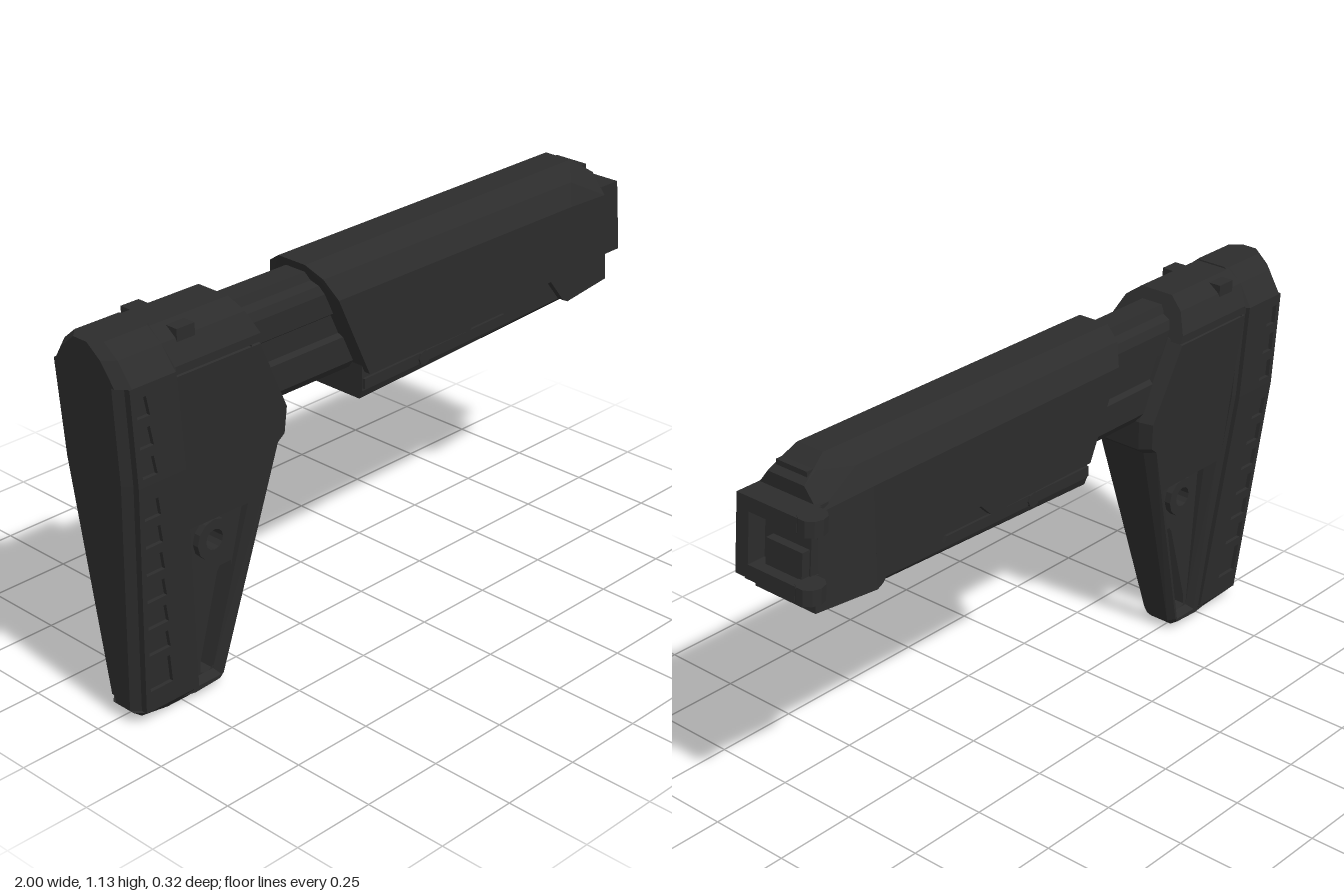
import * as THREE from 'three';
import { ConvexGeometry } from 'three/addons/geometries/ConvexGeometry.js';

const ZC = 0.0165; // the body sits slightly forward of the origin plane

export function createModel() {
  const polymer = new THREE.MeshStandardMaterial({ color: 0x2c2c2c });
  polymer.name = 'dark polymer';
  const root = new THREE.Group();
  root.name = 'adjustableStock';
  const body = new THREE.Group();
  body.name = 'stockBody';
  body.position.z = ZC;
  root.add(body);

  const add = (name, geometry, parent = body) => {
    const mesh = new THREE.Mesh(geometry, polymer);
    mesh.name = name;
    parent.add(mesh);
    return mesh;
  };
  const path = (pts) => pts.map(([x, y]) => new THREE.Vector2(x, y));
  const circle = (cx, cy, r, n = 12) => Array.from({ length: n }, (_, i) => {
    const a = (i / n) * Math.PI * 2;
    return [cx + r * Math.cos(a), cy + r * Math.sin(a)];
  });

  // Side profile extruded across z, its half width given by w(x, y)
  const slab = (name, pts, holes, w, bevel = 0) => {
    const shape = new THREE.Shape(path(pts));
    holes.forEach((h) => shape.holes.push(new THREE.Path(path(h))));
    const b = bevel ? 0.35 : 0;
    const g = new THREE.ExtrudeGeometry(shape, {
      depth: 2 - 2 * b, bevelEnabled: bevel > 0, bevelThickness: b,
      bevelSize: bevel, bevelOffset: -bevel, bevelSegments: 1,
    });
    g.translate(0, 0, b - 1);
    const p = g.attributes.position;
    for (let i = 0; i < p.count; i++) p.setZ(i, p.getZ(i) * w(p.getX(i), p.getY(i)));
    g.computeVertexNormals();
    return add(name, g);
  };

  // Convex solid from [x, y, halfWidth] points mirrored across z
  const hull = (name, pts) => add(name, new ConvexGeometry(
    pts.flatMap(([x, y, z]) => [new THREE.Vector3(x, y, z), new THREE.Vector3(x, y, -z)])));

  const box = (name, x0, x1, y0, y1, z0, z1, parent = body) => {
    const g = new THREE.BoxGeometry(x1 - x0, y1 - y0, z1 - z0);
    g.translate((x0 + x1) / 2, (y0 + y1) / 2, (z0 + z1) / 2);
    return add(name, g, parent);
  };

  // Butt pad: inner core, slotted side skins, top and toe caps
  const padRear = (y) => -0.922 - 0.078 * (y / 1.13);
  const padFront = (y) => -0.72 - 0.1 * (y / 1.13);
  const padW = (x, y) => (y < 0.75 ? 0.07 + (0.068 * (y - 0.04)) / 0.71 : 0.138 + (0.005 * (y - 0.75)) / 0.28);
  const padLevel = (y, w, c = 0.03) => [
    [padRear(y), y, w - c], [padRear(y) + c, y, w], [padFront(y) - 0.01, y, w], [padFront(y), y, w - 0.01]];
  hull('buttPadCore', [0.04, 0.75, 1.03].flatMap((y) => padLevel(y, padW(0, y) - 0.012)));
  hull('buttPadTop', [...padLevel(1.03, 0.143), ...padLevel(1.095, 0.1), ...padLevel(1.132, 0.055)]);
  hull('buttPadToe', [...padLevel(0.04, 0.07), [-0.9, 0.022, 0.045], [-0.8, 0, 0.035], [-0.72, 0, 0.035]]);
  const slot = (y) => {
    const h = y < 0.2 ? 0.045 : 0.028;
    const width = 0.085 - 0.045 * y;
    const left = (v) => padRear(v) + 0.038;
    return [[left(y - h), y - h], [left(y - h) + width, y - h],
      [left(y + h) + width - 0.008, y + h], [left(y + h), y + h]];
  };
  [[0.04, 0.75, [0.15, 0.25, 0.335, 0.42, 0.505, 0.59, 0.675]], [0.75, 1.03, [0.8, 0.885, 0.97]]]
    .forEach(([y0, y1, rows]) => slab('buttPadSide', [
      [padRear(y0) + 0.022, y0], [padFront(y0) - 0.008, y0],
      [padFront(y1) - 0.008, y1], [padRear(y1) + 0.022, y1]], rows.map(slot), padW));

  // Triangular frame with an upper opening and a lower pocket
  const frameW = (x, y) => 0.062 + (0.068 * (y - 0.04)) / 0.98;
  slab('frame', [
    [-0.85, 1.02], [-0.77, 0.012], [-0.72, 0.004], [-0.625, 0.01], [-0.605, 0.03],
    [-0.43, 0.68], [-0.405, 0.7], [-0.4, 0.79], [-0.51, 1.02]],
  [
    [[-0.785, 1.005], [-0.755, 0.59], [-0.74, 0.575], [-0.565, 0.575], [-0.54, 0.6],
      [-0.535, 0.84], [-0.52, 0.87], [-0.565, 1.005]],
    [[-0.735, 0.53], [-0.51, 0.53], [-0.638, 0.05], [-0.695, 0.05]],
  ], frameW, 0.015);
  const boltHole = circle(-0.635, 0.455, 0.03);
  slab('frameWeb', [[-0.78, 0.56], [-0.49, 0.56], [-0.62, 0.03], [-0.74, 0.03]], [
    boltHole,
    [[-0.612, 0.34], [-0.602, 0.355], [-0.56, 0.355], [-0.562, 0.31], [-0.63, 0.065],
      [-0.66, 0.045], [-0.683, 0.055], [-0.683, 0.085]],
  ], () => 0.04);
  slab('boltBoss', circle(-0.635, 0.455, 0.06), [boltHole], () => 0.06);

  // Upper collar around the tube, with its side knobs
  hull('collar', [
    [-0.84, 1.012, 0.13], [-0.51, 1.012, 0.13], [-0.84, 1.035, 0.13], [-0.52, 1.035, 0.13],
    [-0.84, 1.095, 0.1], [-0.545, 1.095, 0.1], [-0.84, 1.128, 0.055], [-0.56, 1.128, 0.055]]);
  for (const s of [-1, 1]) {
    box('collarKnob', -0.78, -0.72, 1.085, 1.12, s * 0.085 - 0.02, s * 0.085 + 0.02);
  }

  // Adjustment lever hanging in the upper opening
  const rod = new THREE.CylinderGeometry(0.048, 0.048, 0.28, 10);
  rod.rotateZ(Math.PI / 2).translate(-0.66, 0.942, 0);
  add('leverRod', rod.toNonIndexed()).geometry.computeVertexNormals();
  slab('lever', [
    [-0.765, 0.92], [-0.755, 0.79], [-0.55, 0.79], [-0.55, 0.81], [-0.575, 0.83],
    [-0.575, 0.86], [-0.54, 0.88], [-0.54, 0.92]], [], () => 0.06);

  // Stepped tube between the frame and the fore body
  const half = [[0.035, 1.1], [0.045, 1.075], [0.07, 1.065], [0.08, 1.04], [0.08, 0.975],
    [0.066, 0.965], [0.066, 0.905], [0.08, 0.895], [0.08, 0.815], [0.06, 0.788]];
  const section = new THREE.Shape(path([...half, ...half.map(([z, y]) => [-z, y]).reverse()]));
  const tube = new THREE.ExtrudeGeometry(section, { depth: 0.5, bevelEnabled: false });
  tube.rotateY(Math.PI / 2).translate(-0.54, 0, 0);
  add('tube', tube);

  // Fore body: faceted top, side panels and tapered nose with a cross hole
  hull('foreBodyTop', [
    [-0.228, 1.02, 0.13], [0.72, 1.02, 0.13], [0.895, 1.02, 0.1125],
    [-0.235, 1.035, 0.13], [0.72, 1.035, 0.13], [-0.263, 1.095, 0.1], [0.75, 1.095, 0.1],
    [-0.28, 1.127, 0.05], [0.81, 1.135, 0.045], [0.85, 1.105, 0.06], [0.895, 1.08, 0.065]]);
  slab('foreBodySide', [
    [-0.228, 1.02], [-0.118, 0.785], [0.23, 0.785], [0.29, 0.785], [0.33, 0.825],
    [0.64, 0.825], [0.7, 0.75], [0.72, 0.74], [0.72, 1.02]], [], () => 0.13);
  slab('foreBodyNose', [
    [0.72, 0.74], [0.92, 0.747], [0.912, 0.85], [0.895, 1.02], [0.72, 1.02]],
  [circle(0.765, 0.84, 0.047, 10)], (x) => 0.13 - 0.1 * (x - 0.72));
  box('topRidge', 0.815, 0.875, 1.09, 1.108, -0.055, 0.055);

  // Lower rail with side strips and a button
  hull('lowerRail', [
    [-0.128, 0.83, 0.11], [0.72, 0.83, 0.11], [-0.128, 0.73, 0.11], [0.72, 0.75, 0.11],
    [-0.128, 0.705, 0.1], [0.72, 0.738, 0.1]]);
  slab('railStrip', [[-0.125, 0.738], [0.43, 0.755], [0.46, 0.765], [0.45, 0.78], [-0.125, 0.768]],
    [], () => 0.118);
  slab('railButton', circle(0.11, 0.757, 0.022, 8), [], () => 0.123);

  // Front latch: back plate, spine and two hooked arms leaning with the nose
  const latch = new THREE.Group();
  latch.name = 'frontLatch';
  root.add(latch);
  box('latchPlate', 0.87, 0.925, 0.82, 1.04, -0.095, 0.115, latch);
  box('latchSpine', 0.9, 0.982, 0.82, 1.04, 0.07, 0.115, latch);
  box('latchBlock', 0.9, 0.95, 0.85, 0.93, -0.09, 0.04, latch);
  for (const y of [0.837, 1.02]) {
    box('latchArm', 0.9, 0.982, y - 0.02, y + 0.02, -0.1, 0.08, latch);
    box('latchNeck', 0.925, 0.975, y - 0.02, y + 0.02, -0.13, -0.09, latch);
    const knob = new THREE.CylinderGeometry(0.04, 0.04, 0.044, 10).toNonIndexed();
    knob.translate(0.947, y, -0.118);
    add('latchHook', knob, latch);
  }
  latch.children.forEach(({ geometry }) => {
    const p = geometry.attributes.position;
    for (let i = 0; i < p.count; i++) p.setX(i, p.getX(i) + (0.93 - p.getY(i)) * 0.1);
    geometry.computeVertexNormals();
  });

  return root;
}
